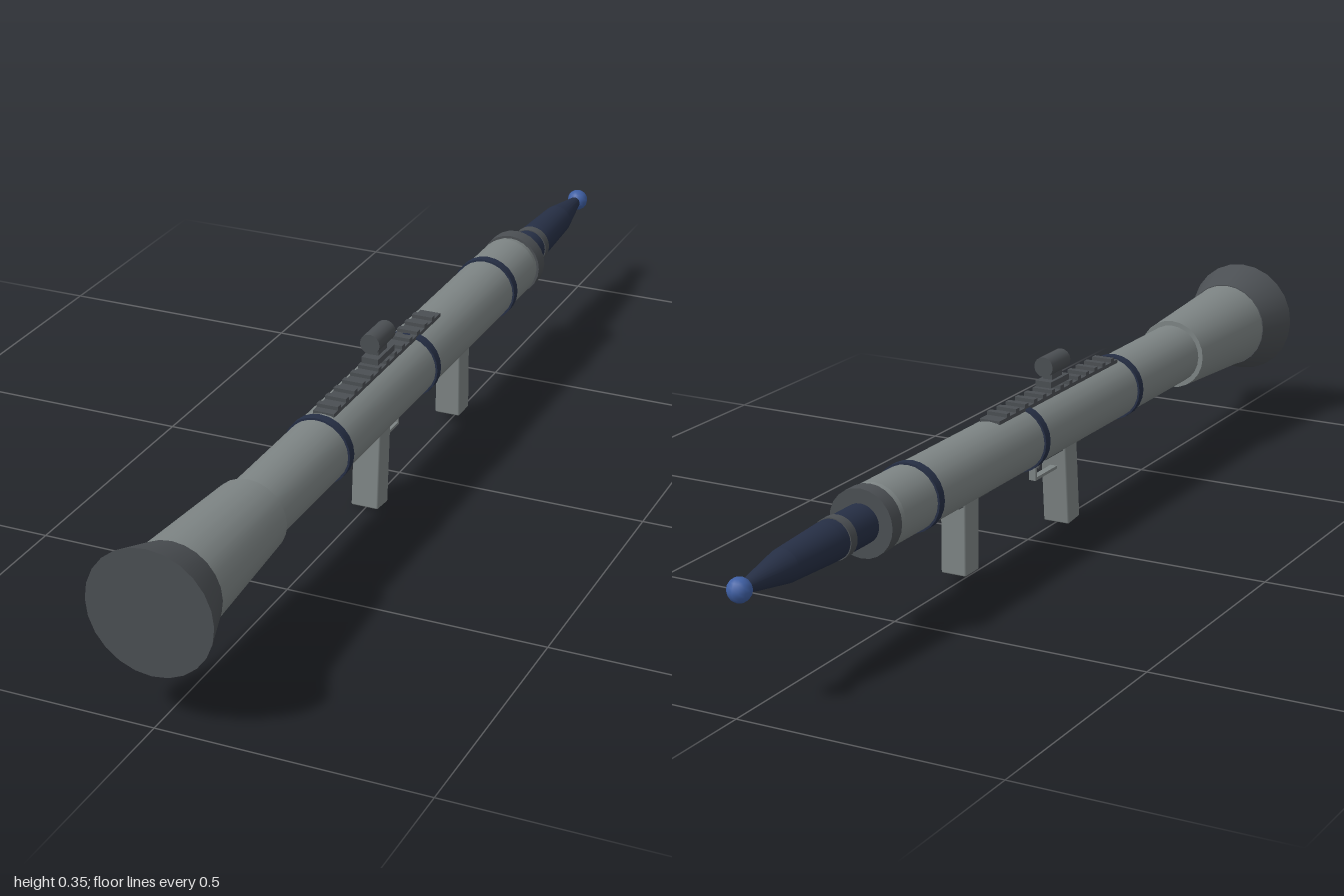
import * as THREE from 'three';
import { RoundedBoxGeometry } from 'three/addons/geometries/RoundedBoxGeometry.js';

const AXIS_Y = 0.218;

function material(name, color) {
  const m = new THREE.MeshStandardMaterial({ color });
  m.name = name;
  return m;
}

export function createModel() {
  const model = new THREE.Group();
  model.name = 'shoulderLauncher';
  const body = material('body grey', 0x7d8484);
  const dark = material('dark grey', 0x4b4f53);
  const navy = material('navy', 0x262f45);
  const blue = material('blue', 0x3f5fa3);

  function add(name, geometry, mat, x, y, z, parent = model) {
    const mesh = new THREE.Mesh(geometry, mat);
    mesh.name = name;
    mesh.position.set(x, y, z);
    parent.add(mesh);
    return mesh;
  }
  // Round section along z, from radius r0 at z0 to radius r1 at z1 (z0 < z1)
  function section(name, mat, z0, r0, z1, r1 = r0, y = AXIS_Y, sides = 24) {
    const g = new THREE.CylinderGeometry(r1, r0, z1 - z0, sides).rotateX(Math.PI / 2);
    return add(name, g, mat, 0, y, (z0 + z1) / 2);
  }
  const box = (name, mat, w, h, d, y, z, x = 0) =>
    add(name, new THREE.BoxGeometry(w, h, d), mat, x, y, z);

  // Launch tube, flared exhaust and muzzle
  section('tube', body, -0.56, 0.062, 0.65);
  section('tubeChamfer', body, -0.58, 0.058, -0.56, 0.062);
  section('exhaustShroud', body, 0.64, 0.072, 0.915, 0.088);
  section('exhaustBell', dark, 0.915, 0.09, 1, 0.118);
  section('muzzleRing', dark, -0.607, 0.064, -0.575);
  for (const z of [0.36, -0.04, -0.44]) section('band', navy, z - 0.009, 0.066, z + 0.009);

  // Warhead with tapered nose and ball tip
  section('warheadBody', navy, -0.72, 0.037, -0.6);
  section('warheadBand', dark, -0.7, 0.039, -0.68);
  section('warheadTaper', navy, -0.85, 0.031, -0.72, 0.037);
  section('warheadNose', navy, -0.965, 0.011, -0.85, 0.031);
  add('tipBall', new THREE.SphereGeometry(0.022, 12, 8), blue, 0, AXIS_Y, -0.978);

  // Accessory rail with teeth
  box('rail', dark, 0.042, 0.012, 0.49, 0.277, 0.095);
  for (let i = 0; i < 13; i++) box('railTooth', dark, 0.042, 0.01, 0.013, 0.285, 0.317 - i * 0.036);

  // Sight on its mount
  box('sightBase', dark, 0.034, 0.012, 0.075, 0.298, 0.1);
  box('sightStem', dark, 0.02, 0.03, 0.04, 0.308, 0.1);
  section('sightBarrel', dark, 0.063, 0.02, 0.137, 0.02, 0.332, 16);

  // Grips and their mounting plates
  const rear = add('rearGrip', new RoundedBoxGeometry(0.055, 0.172, 0.049, 1, 0.003), body, 0, 0.0885, 0.134);
  rear.rotation.x = -0.09;
  add('frontGrip', new RoundedBoxGeometry(0.052, 0.15, 0.052, 1, 0.003), body, 0, 0.096, -0.264);
  box('rearGripPlate', dark, 0.045, 0.012, 0.15, 0.163, 0.105);
  box('frontGripPlate', dark, 0.045, 0.012, 0.11, 0.163, -0.25);

  // Trigger and guard
  box('guardBar', body, 0.014, 0.006, 0.092, 0.119, 0.064);
  box('guardPost', body, 0.014, 0.045, 0.006, 0.139, 0.021);
  const curve = new THREE.QuadraticBezierCurve3(
    new THREE.Vector3(0, 0.162, 0.05), new THREE.Vector3(0, 0.146, 0.05), new THREE.Vector3(0, 0.134, 0.038));
  add('trigger', new THREE.TubeGeometry(curve, 6, 0.004, 6), dark, 0, 0, 0);

  return model;
}
